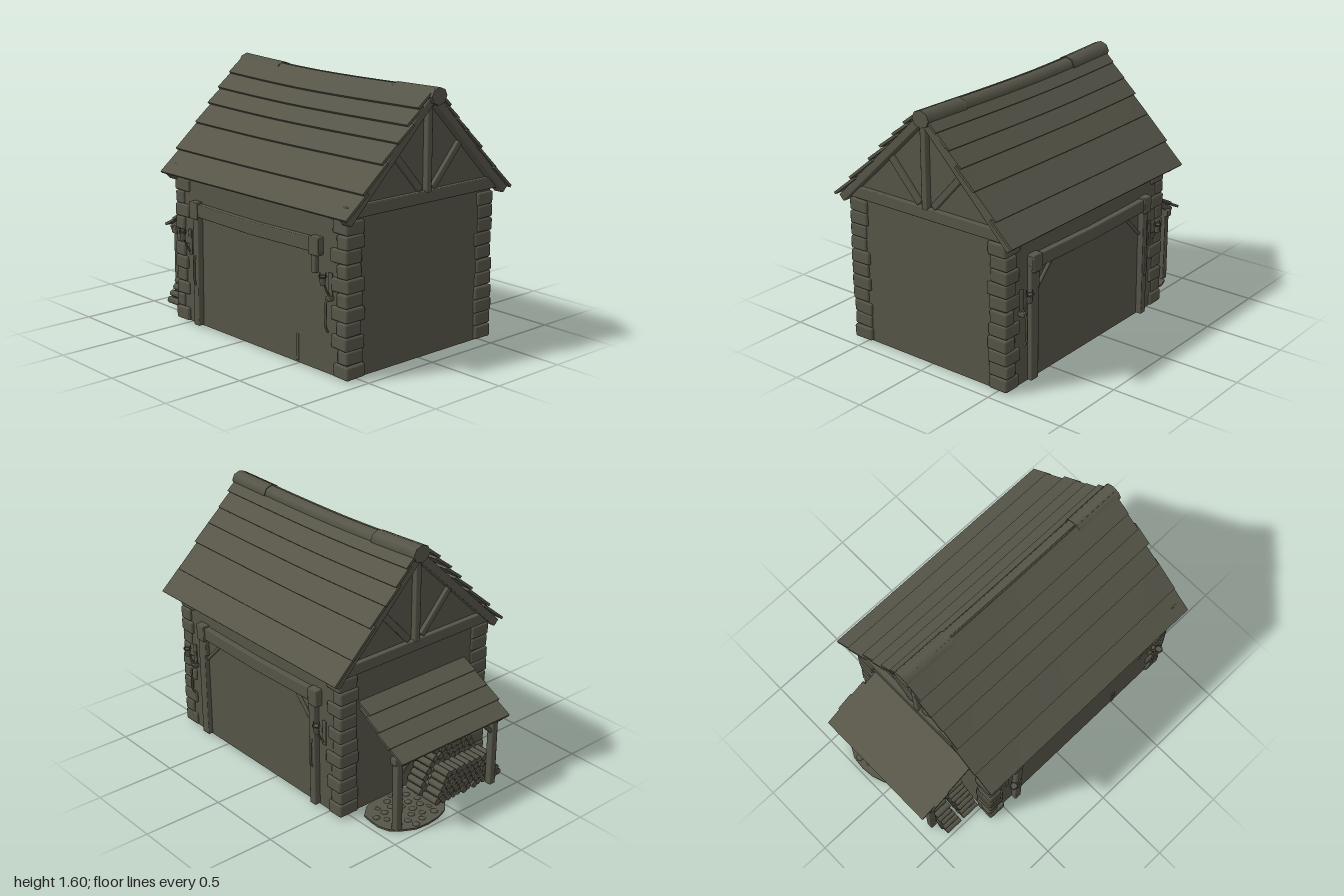
import * as THREE from 'three';
import { RoundedBoxGeometry } from 'three/addons/geometries/RoundedBoxGeometry.js';

const mat = new THREE.MeshStandardMaterial({ color: 0x565548 });
mat.name = 'weatheredOlive';

let seed = 7;
const rnd = () => ((seed = (seed * 16807) % 2147483647) / 2147483647);
const jit = (a) => (rnd() - 0.5) * 2 * a;

function add(parent, name, geo, x = 0, y = 0, z = 0) {
  const m = new THREE.Mesh(geo, mat);
  m.name = name;
  m.position.set(x, y, z);
  parent.add(m);
  return m;
}
// box given by its min and max corners
function box(parent, name, x0, x1, y0, y1, z0, z1) {
  return add(parent, name, new THREE.BoxGeometry(x1 - x0, y1 - y0, z1 - z0),
    (x0 + x1) / 2, (y0 + y1) / 2, (z0 + z1) / 2);
}
// square timber between two points
function beam(parent, name, a, b, w, d = w) {
  const A = new THREE.Vector3(...a), B = new THREE.Vector3(...b);
  const m = add(parent, name, new RoundedBoxGeometry(w, d, A.distanceTo(B), 1, 0.006));
  m.position.copy(A).lerp(B, 0.5);
  m.lookAt(B);
  return m;
}
function tube(parent, name, pts, r) {
  const c = new THREE.CatmullRomCurve3(pts.map((p) => new THREE.Vector3(...p)));
  return add(parent, name, new THREE.TubeGeometry(c, 14, r, 6));
}
function group(parent, name) {
  const g = new THREE.Group();
  g.name = name;
  parent.add(g);
  return g;
}

const RIDGE_Z = -0.02, EAVE_Y = 0.915;
const sag = (x) => 0.03 * Math.max(0, (0.1 - x) / 0.78) ** 1.5 + 0.012 * Math.max(0, x - 0.4);

// one bent roof board; t runs from eave (0) to ridge (1)
function roofBoard(parent, side, t0, t1, x0, x1, lift) {
  const g = new THREE.BoxGeometry(x1 - x0, 0.016, 1, 10, 1, 1);
  const p = g.attributes.position, eave = side > 0 ? 0.64 : -0.65;
  for (let i = 0; i < p.count; i++) {
    const x = p.getX(i) + (x0 + x1) / 2;
    const u = 0.5 - side * p.getZ(i);
    const t = t0 + (t1 - t0) * u, n = (p.getY(i) + lift * (1 - u)) * 0.7;
    p.setXYZ(i, x, EAVE_Y + (0.64 + sag(x)) * t + n, eave + (RIDGE_Z - eave) * t + n * side);
  }
  g.computeVertexNormals();
  add(parent, 'roofBoard', g);
}

function buildWalls(root) {
  const walls = group(root, 'walls');
  box(walls, 'frontWall', -0.59, 0.9, 0.01, 0.93, 0.54, 0.58);
  box(walls, 'backWall', -0.59, 0.9, 0.01, 0.93, -0.56, -0.52);
  const s = new THREE.Shape([[-0.58, 0.01], [0.56, 0.01], [0.56, 0.95], [0.02, 1.51], [-0.58, 0.95]]
    .map((q) => new THREE.Vector2(...q)));
  for (const x of [-0.6, 0.87]) {
    const g = new THREE.ExtrudeGeometry(s, { depth: 0.04, bevelEnabled: false });
    g.rotateY(Math.PI / 2);
    add(walls, 'gableWall', g, x);
  }
  // corner stones
  const stones = group(root, 'cornerStones');
  for (const sx of [-1, 1]) for (const sz of [-1, 1]) for (let i = 0; i < 11; i++) {
    const w = (i % 2 ? 0.085 : 0.125) + jit(0.012), d = 0.13 + jit(0.012);
    const X = sx > 0 ? 0.925 : -0.615, Z = sz > 0 ? 0.598 : -0.573;
    const m = add(stones, 'cornerStone', new RoundedBoxGeometry(w, 0.08, d, 1, 0.012),
      X + jit(0.005) - sx * w / 2, 0.051 + i * 0.0815, Z + jit(0.005) - sz * d / 2);
    m.rotation.set(jit(0.03), jit(0.03), jit(0.04));
  }
}

function buildGableTimber(root, sx) {
  const g = group(root, 'gableTimber');
  const x = sx > 0 ? 0.915 : -0.605, xr = x + sx * 0.015;
  beam(g, 'tieBeam', [x, 0.955, 0.6], [x, 0.955, -0.6], 0.05, 0.07);
  beam(g, 'kingPost', [x, 0.98, -0.01], [x, 1.51, -0.01], 0.06, 0.04);
  beam(g, 'gableBrace', [x, 1.0, 0.04], [x, 1.23, 0.25], 0.035, 0.04);
  beam(g, 'gableBrace', [x, 1.0, -0.06], [x, 1.23, -0.27], 0.035, 0.04);
  for (const e of [0.62, -0.63])
    beam(g, 'bargeRafter', [xr, 0.905, e], [xr, 1.52, RIDGE_Z], 0.07, 0.05);
}

function buildRoof(root) {
  const roof = group(root, 'roof');
  const rows = [0, 0.19, 0.41, 0.57, 0.7, 0.83, 1];
  for (const side of [1, -1]) for (let i = 0; i < 6; i++)
    roofBoard(roof, side, rows[i], Math.min(1, rows[i + 1] + 0.03),
      -0.675 + jit(0.008), 0.975 + jit(0.01), side > 0 ? 0.022 : 0.012);
  // rafters with tails below the eaves
  for (const x of [-0.5, -0.3, -0.12, 0.18, 0.36, 0.62, 0.8])
    for (const e of [0.61, -0.62])
      beam(roof, 'rafter', [x, 0.915, e], [x, 1.51, RIDGE_Z], 0.045, 0.035);
  // ridge cap in overlapping lengths
  [[-0.68, -0.32, 0.062], [-0.35, 0.7, 0.055], [0.66, 0.985, 0.06]].forEach(([a, b, r]) => {
    const c = new THREE.CylinderGeometry(r, r, b - a, 8, 6);
    c.rotateZ(Math.PI / 2);
    const p = c.attributes.position;
    for (let i = 0; i < p.count; i++) p.setY(i, p.getY(i) * 0.85 + sag(p.getX(i) + (a + b) / 2));
    c.computeVertexNormals();
    add(roof, 'ridgeCap', c, (a + b) / 2, 1.515, -0.035);
  });
}

// timber door surround, lamps and handles on a long wall
function buildDoorway(root, s) {
  const g = group(root, s > 0 ? 'frontDoorway' : 'backDoorway');
  const z = s > 0 ? 0.585 : -0.565, P = (x, y, o) => [x, y, z + s * o];
  beam(g, 'lintel', P(-0.41, 0.735, 0.005), P(0.15, 0.725, 0.005), 0.05, 0.08);
  beam(g, 'lintel', P(0.14, 0.725, 0.005), P(0.72, 0.735, 0.005), 0.05, 0.08);
  for (const x of [-0.4, 0.68])
    beam(g, 'lintelBlock', P(x, 0.68, 0.01), P(x, 0.785, 0.01), 0.075, 0.06);
  beam(g, 'doorPost', P(-0.39, 0.012, 0), P(-0.385, 0.72, 0), 0.065, 0.05);
  beam(g, 'peg', P(0.665, 0.575, 0.01), P(0.665, 0.69, 0.01), 0.035, 0.03);
  if (s < 0) {
    beam(g, 'doorPost', P(0.69, 0.012, 0), P(0.69, 0.72, 0), 0.065, 0.05);
    beam(g, 'doorBrace', P(-0.36, 0.55, 0.003), P(-0.22, 0.69, 0.003), 0.02, 0.02);
    beam(g, 'doorBrace', P(0.66, 0.55, 0.003), P(0.52, 0.69, 0.003), 0.02, 0.02);
  } else beam(g, 'wallStrip', P(0.505, 0.02, -0.003), P(0.505, 0.18, -0.003), 0.022, 0.012);
  for (const x of [-0.47, 0.79]) {
    add(g, 'lampCup', new THREE.CylinderGeometry(0.02, 0.014, 0.05, 8), x, 0.565, z + s * 0.065);
    add(g, 'lampRim', new THREE.TorusGeometry(0.022, 0.004, 5, 10).rotateX(Math.PI / 2), x, 0.59, z + s * 0.065);
    for (let k = 0; k < 4; k++) {
      const a = k * Math.PI / 2, dx = Math.cos(a) * 0.02, dz = Math.sin(a) * 0.02;
      beam(g, 'lampSpike', [x + dx, 0.58, z + s * 0.065 + dz], [x + dx * 1.2, 0.61, z + s * 0.065 + dz * 1.2], 0.006);
    }
    tube(g, 'lampArm', [P(x, 0.55, 0.055), P(x, 0.51, 0.04), P(x, 0.46, 0.01)], 0.006);
    beam(g, 'lampPlate', P(x, 0.44, 0.006), P(x, 0.6, 0.006), 0.03, 0.012);
  }
  for (const x of [-0.39, 0.79]) {
    tube(g, 'handle', [P(x, 0.455, 0.02), P(x, 0.44, 0.04), P(x, 0.38, 0.042), P(x, 0.3, 0.042), P(x, 0.265, 0.025)], 0.007);
    beam(g, 'handleMount', P(x, 0.44, 0.01), P(x, 0.47, 0.01), 0.03, 0.045);
  }
}

function buildLeanTo(root) {
  const g = group(root, 'leanTo');
  for (let i = 0; i < 4; i++) {
    const x = -0.94 + i * 0.1, m = box(g, 'leanToBoard', -0.06, 0.06, -0.008, 0.008,
      -0.455 + (i === 3 ? 0.03 : jit(0.008)), 0.41 + jit(0.012));
    m.position.x = x;
    m.position.y = 0.525 + i * 0.0575;
    m.rotation.z = 0.47;
  }
  for (const z of [-0.4, 0.36]) {
    beam(g, 'leanToPost', [-0.905, 0.01, z], [-0.905, 0.48, z], 0.045);
    beam(g, 'leanToRafter', [-0.97, 0.475, z], [-0.6, 0.69, z], 0.035);
    beam(g, 'leanToBrace', [-0.905, 0.36, z], [-0.905, 0.47, z - Math.sign(z) * 0.11], 0.025);
  }
  beam(g, 'leanToPlate', [-0.905, 0.475, -0.44], [-0.905, 0.475, 0.4], 0.045);
  // two rows of stacked logs
  const logs = group(root, 'logPile');
  for (const [x, len, rows] of [[-0.825, 0.11, 5], [-0.68, 0.12, 7]])
    for (let r = 0; r < rows; r++) for (let i = 0; i < 13 - r; i++) {
      const c = new THREE.CylinderGeometry(0.0215, 0.0215, len + jit(0.008), 7);
      c.rotateZ(Math.PI / 2);
      add(logs, 'log', c, x + jit(0.006), 0.032 + r * 0.0385, -0.05 + (i + r / 2) * 0.0425).rotation.x = rnd() * 3;
    }
  // cobbled ground patch
  const patch = group(root, 'cobblePatch');
  const s = new THREE.Shape();
  for (let i = 0; i < 18; i++) {
    const a = i / 18 * Math.PI * 2, k = 1 + jit(0.06);
    s[i ? 'lineTo' : 'moveTo'](-0.78 + Math.cos(a) * 0.2 * k, 0.22 + Math.sin(a) * 0.25 * k);
  }
  add(patch, 'soil', new THREE.ExtrudeGeometry(s, { depth: 0.012, bevelEnabled: false }).rotateX(-Math.PI / 2));
  for (let i = 0; i < 26; i++) {
    const a = i * 2.4, r = Math.sqrt((i + 0.5) / 26) * 0.9;
    const m = add(patch, 'cobble', new THREE.SphereGeometry(0.018 + rnd() * 0.008, 7, 5),
      -0.78 + Math.cos(a) * 0.19 * r, 0.012, -0.22 + Math.sin(a) * 0.23 * r);
    m.scale.y = 0.4;
  }
}

function buildInterior(root) {
  const g = group(root, 'interior');
  for (const x of [-0.38, 0.69]) beam(g, 'innerPost', [x, 0.012, 0.53], [x, 0.9, 0.53], 0.06);
  beam(g, 'innerSill', [-0.54, 0.04, -0.5], [-0.54, 0.04, 0.5], 0.05);
  // wall rack
  for (const y of [0.25, 0.4]) box(g, 'rackShelf', 0.1, 0.55, y, y + 0.02, 0.43, 0.54);
  for (let i = 0; i < 9; i++) beam(g, 'rackBar', [0.12 + i * 0.05, 0.25, 0.44], [0.12 + i * 0.05, 0.4, 0.44], 0.012);
  // hanging tools
  beam(g, 'toolRail', [-0.55, 0.55, -0.4], [-0.55, 0.55, 0.2], 0.03);
  for (let i = 0; i < 5; i++) beam(g, 'tool', [-0.53, 0.3 + i % 2 * 0.05, -0.35 + i * 0.12], [-0.53, 0.55, -0.35 + i * 0.12], 0.02);
  const pts = [[0, 0], [0.06, 0], [0.075, 0.13], [0.067, 0.13], [0.054, 0.01], [0, 0.01]].map((q) => new THREE.Vector2(...q));
  add(g, 'bucket', new THREE.LatheGeometry(pts, 14), -0.45, 0.15, 0.4);
  add(g, 'cauldron', new THREE.LatheGeometry(pts, 14), 0.7, 0.15, -0.4).scale.set(1.2, 0.7, 1.2);
}

export function createModel() {
  const root = new THREE.Group();
  root.name = 'barn';
  seed = 7;
  buildWalls(root);
  for (const s of [1, -1]) {
    buildGableTimber(root, s);
    buildDoorway(root, s);
  }
  buildRoof(root);
  buildLeanTo(root);
  buildInterior(root);
  return root;
}
